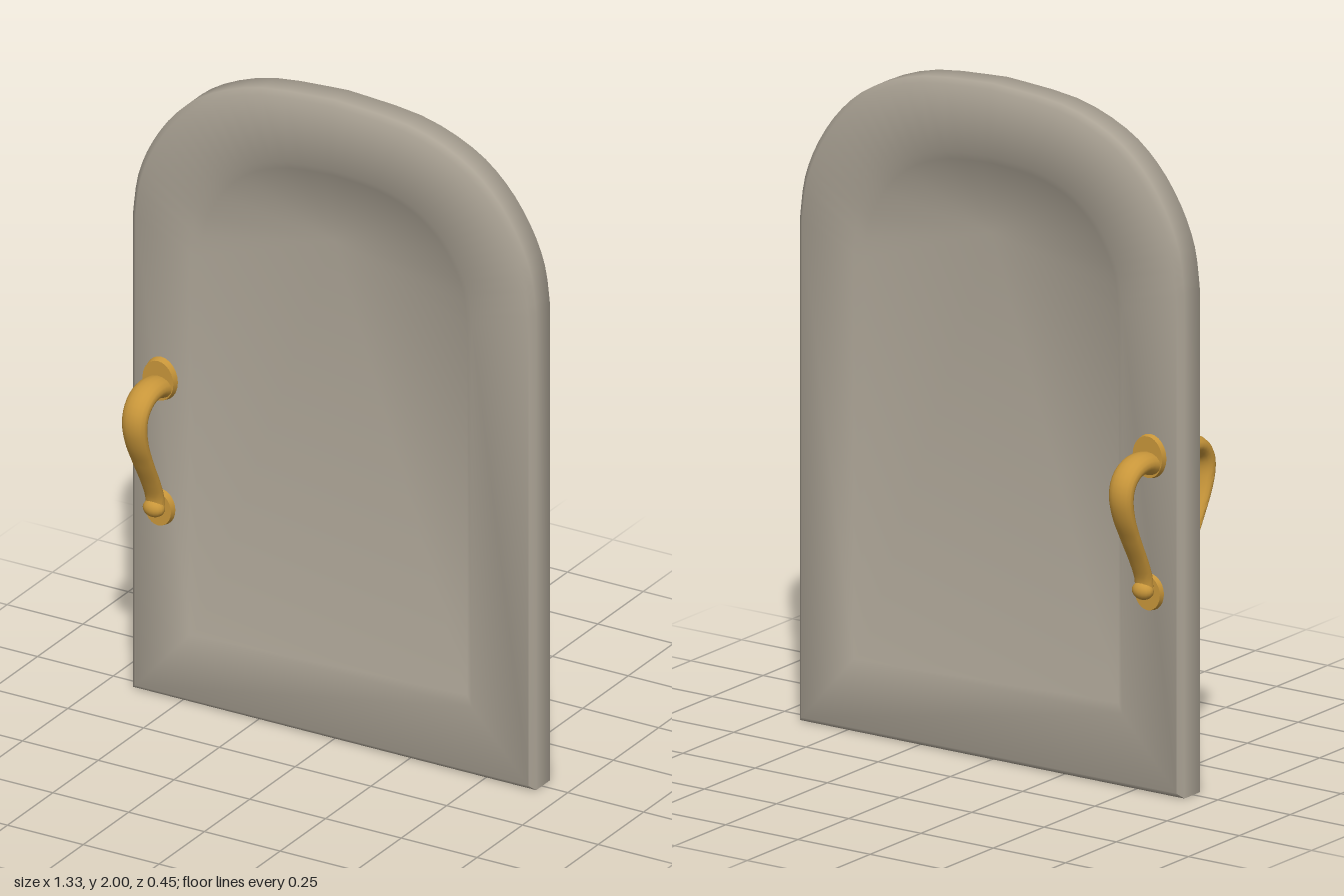
import * as THREE from 'three';
import { toCreasedNormals } from 'three/addons/utils/BufferGeometryUtils.js';

// Skin a series of equal-length closed rings and cap both ends.
function loft(rings, crease) {
  const n = rings[0].length, pos = [], idx = [];
  rings.forEach((r) => r.forEach((p) => pos.push(p.x, p.y, p.z)));
  for (let i = 0; i < rings.length - 1; i++) {
    for (let j = 0; j < n; j++) {
      const k = (j + 1) % n, a = i * n, b = a + n;
      idx.push(a + j, a + k, b + k, a + j, b + k, b + j);
    }
  }
  [0, rings.length - 1].forEach((r) => {
    const c = rings[r].reduce((s, p) => s.add(p), new THREE.Vector3()).divideScalar(n);
    const ci = pos.length / 3;
    pos.push(c.x, c.y, c.z);
    for (let j = 0; j < n; j++) {
      const k = (j + 1) % n;
      if (r === 0) idx.push(ci, k, j);
      else idx.push(ci, r * n + j, r * n + k);
    }
  });
  const g = new THREE.BufferGeometry();
  g.setAttribute('position', new THREE.Float32BufferAttribute(pos, 3));
  g.setIndex(idx);
  return toCreasedNormals(g, crease);
}

// Arched outline: flat foot at y0, half arch given from spring to crown.
function archOutline(half, y0) {
  const pts = new THREE.SplineCurve(half.map(([x, y]) => new THREE.Vector2(x, y))).getPoints(18);
  const left = pts.slice(0, -1).reverse().map((p) => new THREE.Vector2(-p.x, p.y));
  const x0 = half[0][0];
  return [new THREE.Vector2(x0, y0), ...pts, ...left, new THREE.Vector2(-x0, y0)];
}

// Scale an outline about a height and lift it to a depth.
const ring = (outline, z, sx = 1, sy = 1, cy = 1) =>
  outline.map((p) => new THREE.Vector3(p.x * sx, cy + (p.y - cy) * sy, z));

function doorGeometry() {
  const outer = archOutline([[0.665, 1.49], [0.648, 1.61], [0.6, 1.725], [0.52, 1.835],
    [0.41, 1.92], [0.24, 1.98], [0, 2]], 0);
  const inner = archOutline([[0.465, 1.42], [0.452, 1.52], [0.41, 1.61], [0.355, 1.68],
    [0.27, 1.74], [0.15, 1.778], [0, 1.79]], 0.22);
  const front = [
    [outer, 0.038, 1, 1, 1],
    [outer, 0.053, 0.975, 0.985, 1],
    [inner, 0.06, 1, 1, 1],
    [inner, 0.042, 0.945, 0.968, 1.005],
  ];
  const back = front.map(([o, z, ...s]) => [o, -z, ...s]).reverse();
  return loft([...back, ...front].map((a) => ring(...a)), 0.9);
}

// Curved grip, thick at the top and slimmer toward its lower end.
function gripGeometry() {
  const path = new THREE.CatmullRomCurve3([[0.05, 0.975], [0.11, 0.99], [0.16, 0.98], [0.192, 0.95],
    [0.202, 0.91], [0.19, 0.85], [0.155, 0.775], [0.115, 0.7], [0.092, 0.645], [0.09, 0.61],
  ].map(([z, y]) => new THREE.Vector3(0, y, z)));
  const steps = 32, sides = 16, X = new THREE.Vector3(1, 0, 0), rings = [];
  for (let i = 0; i <= steps; i++) {
    const t = i / steps, c = path.getPointAt(t);
    const N = path.getTangentAt(t).cross(X).normalize();
    const rx = THREE.MathUtils.lerp(0.046, 0.029, t);
    const rn = THREE.MathUtils.lerp(0.034, 0.017, Math.min(1, t * 1.6));
    rings.push(Array.from({ length: sides }, (_, j) => {
      const a = (j / sides) * Math.PI * 2;
      return c.clone().addScaledVector(X, rx * Math.cos(a)).addScaledVector(N, rn * Math.sin(a));
    }));
  }
  return loft(rings, 0.9);
}

export function createModel() {
  const stone = new THREE.MeshStandardMaterial({ color: 0xaaa294 });
  stone.name = 'warm grey';
  const brass = new THREE.MeshStandardMaterial({ color: 0xc8963a });
  brass.name = 'brass';

  const model = new THREE.Group();
  model.name = 'archedDoor';
  const add = (parent, name, geometry, material) => {
    const m = new THREE.Mesh(geometry, material);
    m.name = name;
    parent.add(m);
    return m;
  };

  add(model, 'doorPanel', doorGeometry(), stone).position.z = -0.006;

  // Oval plate lying against the door face.
  const plate = (rx, ry, y) => {
    const g = new THREE.CylinderGeometry(0.88, 1, 0.034, 24);
    g.rotateX(Math.PI / 2).scale(rx, ry, 1).translate(0, y, 0.057);
    return toCreasedNormals(g, 0.7);
  };

  const grip = gripGeometry();
  const topPlate = plate(0.058, 0.07, 1.0);
  const lowPlate = plate(0.049, 0.058, 0.598);
  const stub = new THREE.CylinderGeometry(0.022, 0.024, 0.05, 16);
  stub.rotateX(Math.PI / 2).translate(0, 0.61, 0.075);
  const knob = new THREE.SphereGeometry(1, 16, 12);
  knob.scale(0.034, 0.027, 0.025).translate(0, 0.611, 0.096);

  // One handle on each face; the back one is turned half round.
  [['frontHandle', 0], ['backHandle', Math.PI]].forEach(([name, turn]) => {
    const handle = new THREE.Group();
    handle.name = name;
    handle.position.set(-0.56, 0, -0.003);
    handle.rotation.y = turn;
    add(handle, 'upperPlate', topPlate, brass);
    add(handle, 'lowerPlate', lowPlate, brass);
    add(handle, 'grip', grip, brass);
    add(handle, 'stub', stub, brass);
    add(handle, 'endKnob', knob, brass);
    model.add(handle);
  });
  return model;
}
